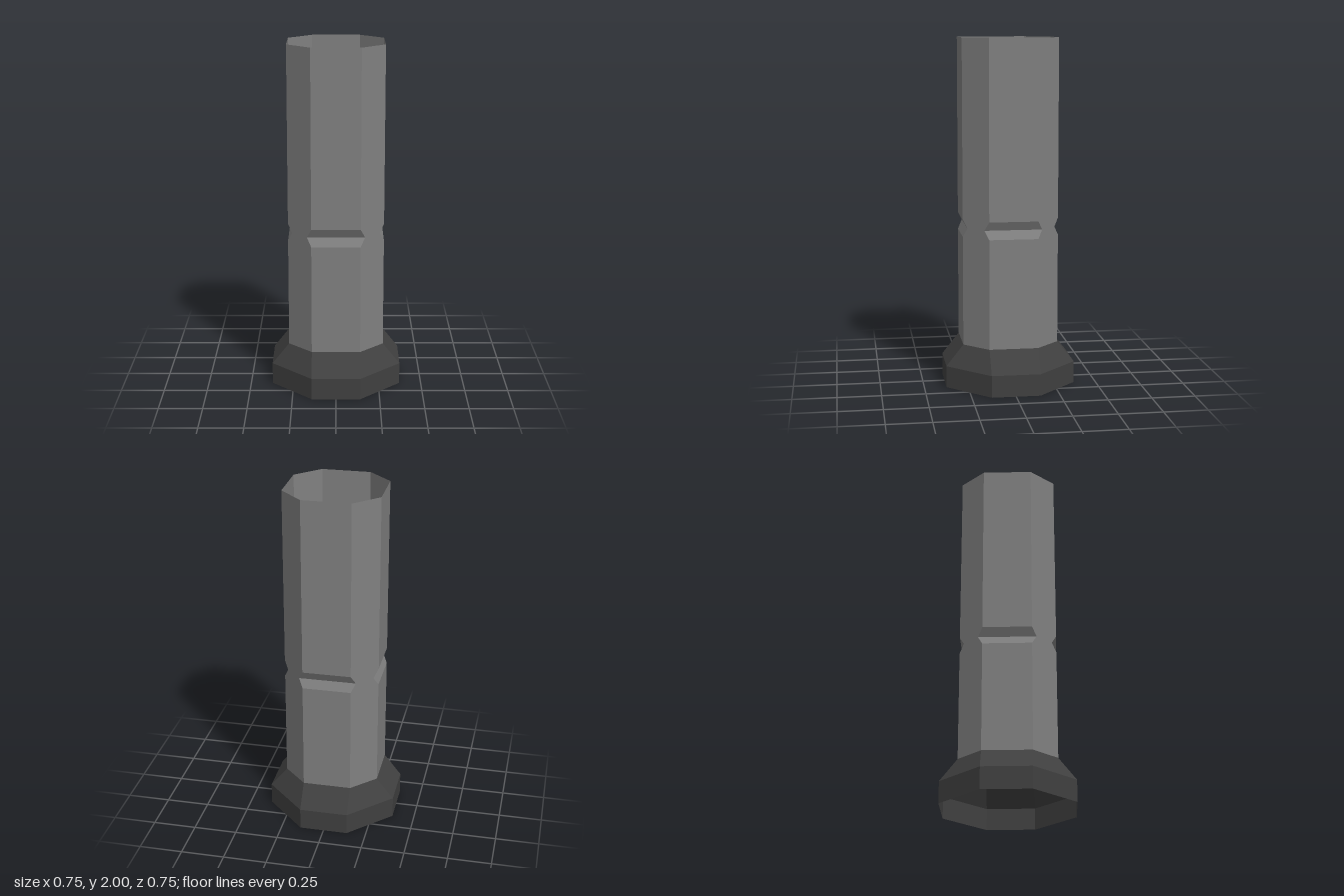
import * as THREE from 'three';

// Eight corners of an octagon: half width a, half length b of the axis-facing sides
function octagon([y, a, b]) {
  return [[-b, a], [b, a], [a, b], [a, -b], [b, -a], [-b, -a], [-a, -b], [-a, b]]
    .map(([x, z]) => [x, y, z]);
}

// Open flat-shaded shell through octagonal sections listed from bottom to top
function shell(name, sections, color) {
  const rings = sections.map(octagon);
  const positions = [];
  for (let r = 0; r < rings.length - 1; r++) {
    for (let i = 0; i < 8; i++) {
      const j = (i + 1) % 8;
      const a = rings[r][i], b = rings[r][j];
      const c = rings[r + 1][j], d = rings[r + 1][i];
      positions.push(...a, ...b, ...c, ...a, ...c, ...d);
    }
  }
  const geometry = new THREE.BufferGeometry();
  geometry.setAttribute('position', new THREE.Float32BufferAttribute(positions, 3));
  geometry.computeVertexNormals();
  const material = new THREE.MeshStandardMaterial({ color, flatShading: true, side: THREE.DoubleSide });
  const mesh = new THREE.Mesh(geometry, material);
  mesh.name = name;
  return mesh;
}

export function createModel() {
  const group = new THREE.Group();
  group.name = 'octagonalTube';

  // Tube with V grooves on the four axis-facing sides; diagonal sides stay flat
  group.add(shell('tube', [
    [0.25, 0.274, 0.139],
    [0.88, 0.274, 0.139],
    [0.93, 0.249, 0.164],
    [0.98, 0.274, 0.139],
    [2, 0.274, 0.139],
  ], 0x808080));

  // Flared collar at the foot, open underneath
  group.add(shell('baseCollar', [
    [0, 0.373, 0.139],
    [0.125, 0.373, 0.139],
    [0.25, 0.274, 0.139],
  ], 0x404040));

  return group;
}
